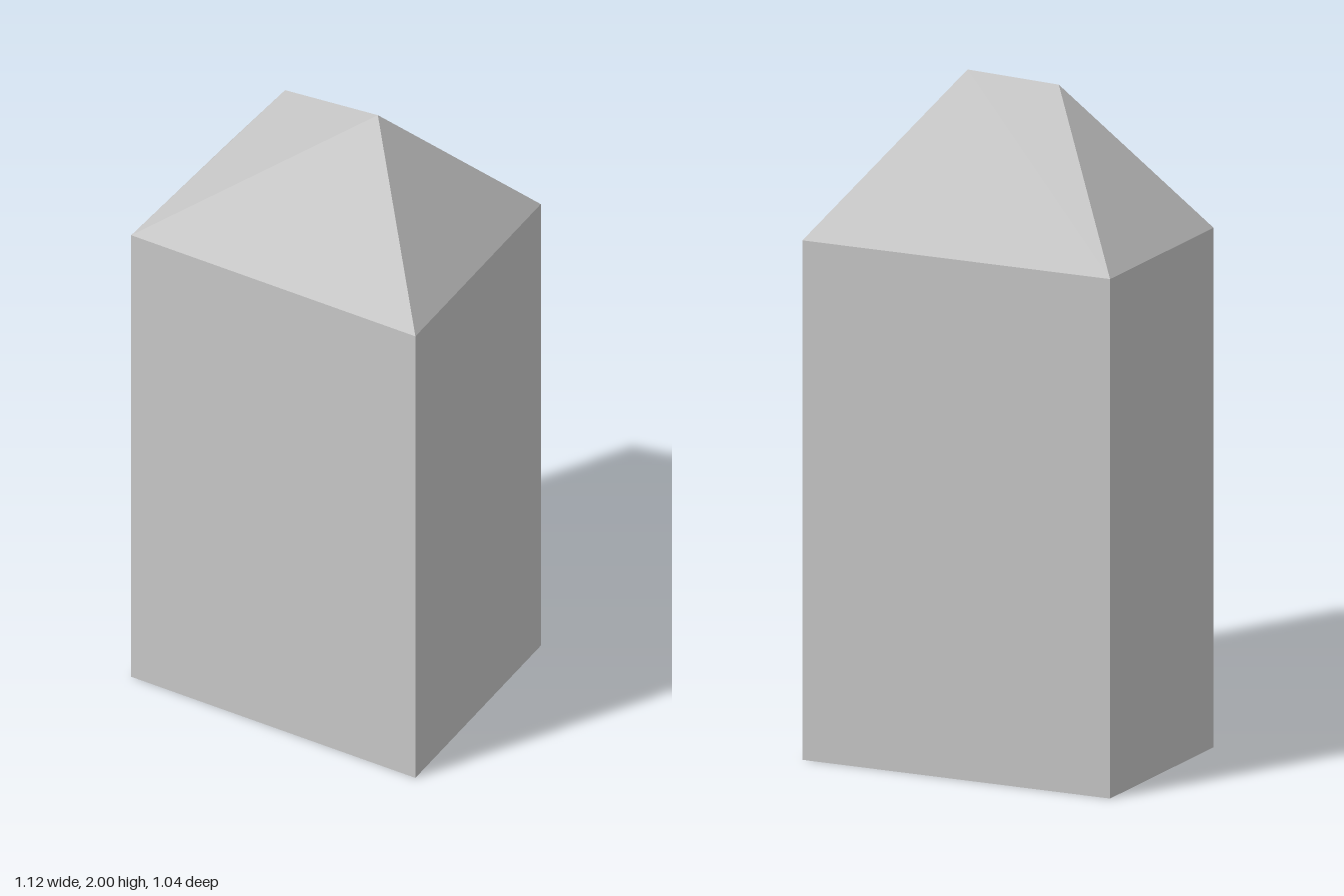
import * as THREE from 'three';

const EAVE = 1.55, TOP = 2;

// Footprint corners (x, z), counter-clockwise seen from above
const plan = [[-0.56, -0.22], [0, 0.52], [0.56, 0.08], [-0.14, -0.52]];
const ring = (y) => plan.map(([x, z]) => new THREE.Vector3(x, y, z));

// Flat-shaded mesh from polygons, each fanned from its first corner
function facets(name, polygons) {
  const points = [];
  for (const p of polygons) {
    for (let i = 1; i < p.length - 1; i++) points.push(p[0], p[i], p[i + 1]);
  }
  const geometry = new THREE.BufferGeometry().setFromPoints(points);
  geometry.computeVertexNormals();
  const material = new THREE.MeshStandardMaterial({ color: 0xcccccc, flatShading: true });
  const mesh = new THREE.Mesh(geometry, material);
  mesh.name = name;
  return mesh;
}

export function createModel() {
  const group = new THREE.Group();
  group.name = 'tower';
  const low = ring(0), high = ring(EAVE);

  // Four upright walls
  group.add(facets('walls', low.map((corner, i) => {
    const j = (i + 1) % low.length;
    return [corner, low[j], high[j], high[i]];
  })));

  // Underside
  group.add(facets('base', [[...low].reverse()]));

  // Hipped roof with a short ridge
  const [left, front, right, back] = high;
  const ridgeBack = new THREE.Vector3(-0.13, TOP, -0.13);
  const ridgeFront = new THREE.Vector3(0.067, TOP, 0.077);
  group.add(facets('roof', [
    [left, front, ridgeFront],
    [left, ridgeFront, ridgeBack],
    [front, right, ridgeFront],
    [right, back, ridgeFront],
    [back, ridgeBack, ridgeFront],
    [left, ridgeBack, back],
  ]));

  return group;
}
